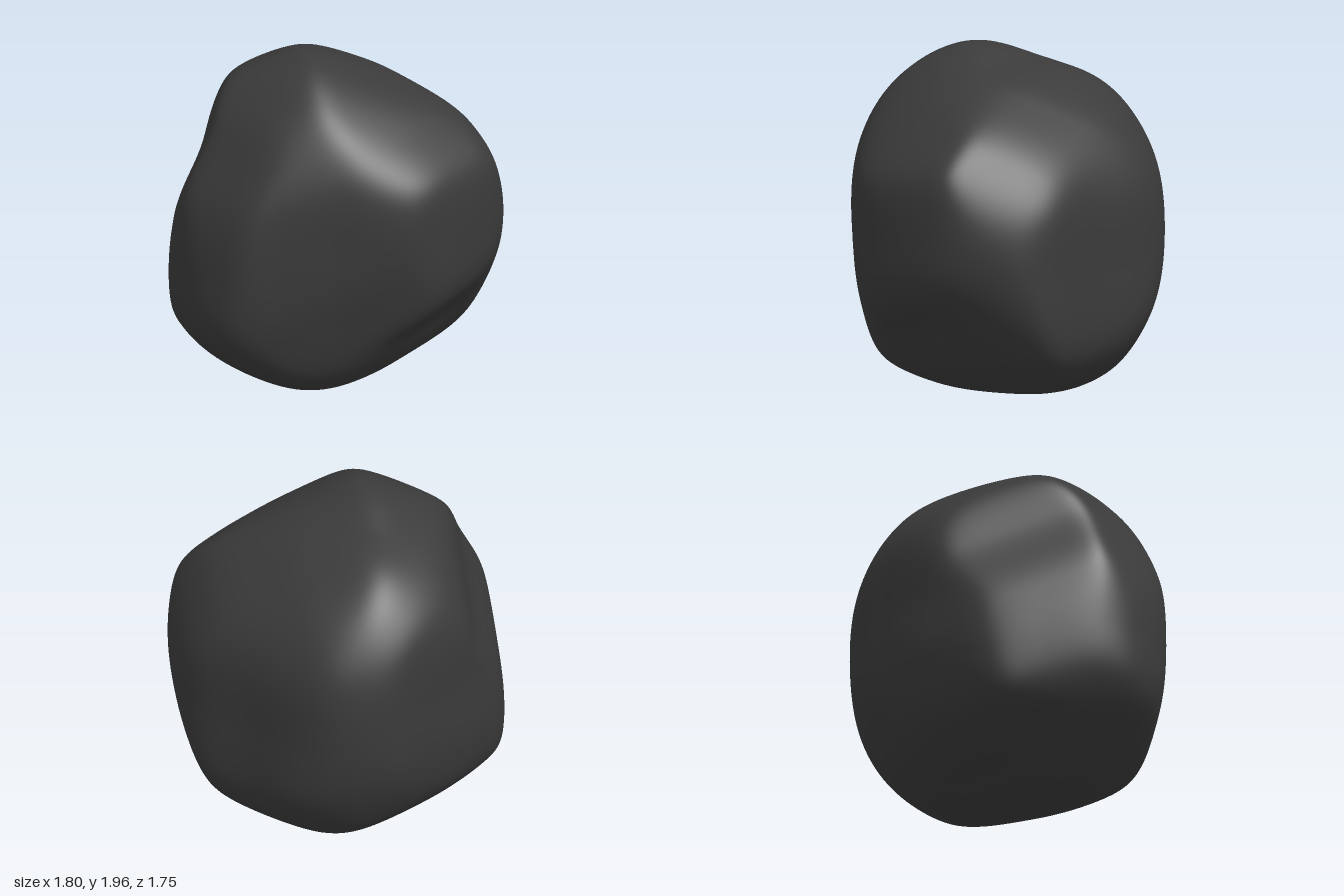
import * as THREE from 'three';
import { mergeVertices } from 'three/addons/utils/BufferGeometryUtils.js';

// The boulder is carved along six directions. Each carver lists the outline's
// radii at equal angles, counter-clockwise, beginning at the angle start.
const slope = Math.SQRT2 * Math.tan(THREE.MathUtils.degToRad(24));
const front = { dir: [0, 0, 1], start: 12, radii: [
  0.89, 0.89, 0.93, 0.89, 1.02, 0.9, 0.82, 0.84, 0.9, 1.03, 1.06, 1, 1, 1.09, 1.05, 0.91] };
const side = { dir: [1, 0, 0], start: 0, radii: [
  0.86, 0.93, 0.97, 0.94, 1, 0.93, 0.86, 0.89, 0.86, 0.89, 0.84, 0.94, 0.99, 0.96, 1.02, 0.94] };
const above = { dir: [0, 1, 0], start: 0, radii: [
  0.88, 0.96, 1.01, 0.9, 0.88, 0.91, 0.88, 0.9, 0.91, 0.76, 0.72, 0.8, 0.86, 0.92, 0.99, 0.94] };
const frontCorner = { dir: [1, slope, 1], start: 0, radii: [
  1.03, 1, 0.99, 0.96, 0.88, 0.78, 0.74, 0.77, 0.93, 0.95, 1.08, 1.07] };
const backCorner = { dir: [-1, slope, -1], start: 0, radii: [
  0.74, 0.82, 0.83, 0.86, 0.87, 0.98, 1.04, 1.04, 1.04, 0.95, 1.02, 0.85] };
const lowerCorner = { dir: [1, -slope, -1], start: 0, radii: [
  0.84, 0.78, 0.96, 1.02, 0.86, 0.9, 0.96, 0.92, 0.88, 0.97, 1.01, 0.98] };

const carvers = [front, side, above, frontCorner, backCorner, lowerCorner].map(({ dir, start, radii }) => {
  const axis = new THREE.Vector3(...dir).normalize();
  const up = new THREE.Vector3(0, 1, 0);
  if (axis.y === 1) up.set(0, 0, -1);
  const right = up.cross(axis).normalize();
  return { right, top: axis.clone().cross(right), start: THREE.MathUtils.degToRad(start), radii };
});

// Shallow hollows in the front face and under the back
const hollows = [
  { dir: new THREE.Vector3(0.3, -0.5, 0.75).normalize(), depth: 0.05, width: 0.28 },
  { dir: new THREE.Vector3(0.3, -0.5, -0.75).normalize(), depth: 0.03, width: 0.25 },
];

// Smooth closed curve through the radii of one outline
function outlineRadius({ radii, start }, angle) {
  const n = radii.length;
  const t = THREE.MathUtils.euclideanModulo((angle - start) / (2 * Math.PI), 1) * n;
  const i = Math.floor(t), k = t - i;
  const at = (j) => radii[(i + j + n) % n];
  const tangent0 = (at(1) - at(-1)) / 2, tangent1 = (at(2) - at(0)) / 2;
  const rise = at(1) - at(0);
  return at(0) + k * (tangent0 + k * (3 * rise - 2 * tangent0 - tangent1 + k * (tangent0 + tangent1 - 2 * rise)));
}

// Soft minimum of all outlines gives rounded edges between the carved faces
const SHARPNESS = 30;
const EDGE_GAIN = 1.025;
function rockRadius(d) {
  let sum = 0;
  for (const carver of carvers) {
    const u = d.dot(carver.right), v = d.dot(carver.top);
    sum += (Math.hypot(u, v) / outlineRadius(carver, Math.atan2(v, u))) ** SHARPNESS;
  }
  let radius = EDGE_GAIN * sum ** (-1 / SHARPNESS);
  for (const { dir, depth, width } of hollows) {
    radius -= depth * Math.exp(-((d.angleTo(dir) / width) ** 2));
  }
  return radius;
}

export function createModel() {
  // Shared vertices keep the surface smooth
  const sphere = new THREE.IcosahedronGeometry(1, 40);
  sphere.deleteAttribute('uv');
  sphere.deleteAttribute('normal');
  const geometry = mergeVertices(sphere, 1e-4);
  const position = geometry.attributes.position;
  const d = new THREE.Vector3();
  for (let i = 0; i < position.count; i++) {
    d.fromBufferAttribute(position, i).normalize();
    d.multiplyScalar(rockRadius(d));
    position.setXYZ(i, d.x, d.y, d.z);
  }
  geometry.computeVertexNormals();

  const boulder = new THREE.Mesh(geometry, new THREE.MeshStandardMaterial({ color: 0x3a3a3a }));
  boulder.name = 'boulder';
  boulder.position.y = 1;
  const group = new THREE.Group();
  group.name = 'rock';
  group.add(boulder);
  return group;
}
